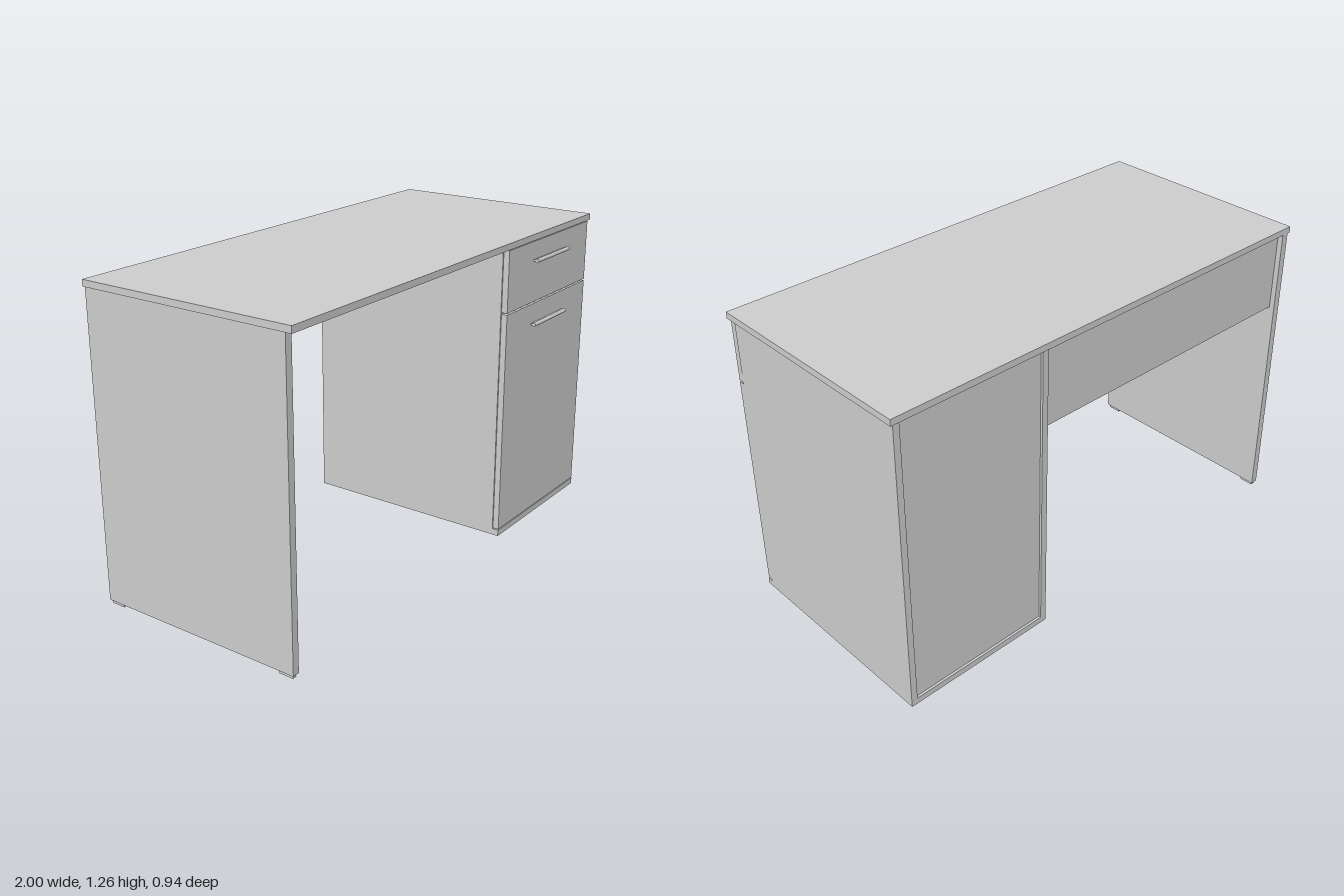
import * as THREE from 'three';

const material = new THREE.MeshStandardMaterial({ color: 0xcccccc });

export function createModel() {
  const desk = new THREE.Group();
  desk.name = 'desk';

  // Adds a board given its extents along each axis
  function board(name, [x0, x1], [y0, y1], [z0, z1], parent = desk) {
    const mesh = new THREE.Mesh(new THREE.BoxGeometry(x1 - x0, y1 - y0, z1 - z0), material);
    mesh.position.set((x0 + x1) / 2, (y0 + y1) / 2, (z0 + z1) / 2);
    mesh.name = name;
    parent.add(mesh);
  }

  const depth = [-0.467, 0.422];
  const front = [0.424, 0.449];

  // Top, side leg and modesty panel
  board('desktop', [-1, 1], [1.235, 1.261], [-0.47, 0.454]);
  board('sideLeg', [-0.992, -0.962], [0.014, 1.235], depth);
  board('modestyPanel', [-0.962, 0.326], [0.905, 1.235], [-0.445, -0.42]);

  // Cabinet carcass
  const cabinet = new THREE.Group();
  cabinet.name = 'cabinet';
  desk.add(cabinet);
  board('cabinetBase', [0.326, 0.99], [0.014, 0.04], [-0.467, 0.449], cabinet);
  board('cabinetInnerSide', [0.326, 0.352], [0.04, 1.235], depth, cabinet);
  board('cabinetOuterSide', [0.964, 0.99], [0.04, 1.235], depth, cabinet);
  board('cabinetBack', [0.352, 0.964], [0.04, 1.235], [-0.457, -0.447], cabinet);

  // Drawer and door fronts
  board('drawerFront', [0.328, 0.988], [0.979, 1.23], front, cabinet);
  board('doorFront', [0.328, 0.988], [0.044, 0.972], front, cabinet);

  // Bar handles: rounded grip tapering into a narrow stem, extruded sideways
  const profile = new THREE.Shape();
  profile.moveTo(0, -0.003);
  profile.lineTo(0.008, -0.004);
  profile.absarc(0.016, 0, 0.008, -2.4, 2.4, false);
  profile.lineTo(0.008, 0.004);
  profile.lineTo(0, 0.003);
  profile.closePath();
  const grip = new THREE.ExtrudeGeometry(profile, { depth: 0.264, bevelEnabled: false, curveSegments: 12 });
  grip.rotateY(-Math.PI / 2);
  for (const [name, y] of [['drawerHandle', 1.153], ['doorHandle', 0.888]]) {
    const handle = new THREE.Mesh(grip, material);
    handle.name = name;
    handle.position.set(0.788, y, 0.449);
    cabinet.add(handle);
  }

  // Square cabinet feet and slim glides under the side leg
  for (const z of [0.385, -0.4]) {
    for (const x of [0.385, 0.93]) {
      board('cabinetFoot', [x - 0.031, x + 0.031], [0.004, 0.014], [z - 0.031, z + 0.031], cabinet);
      board('cabinetFootPad', [x - 0.027, x + 0.027], [0, 0.004], [z - 0.027, z + 0.027], cabinet);
    }
  }
  for (const z of [0.385, -0.43]) {
    board('legGlide', [-0.986, -0.968], [0, 0.014], [z - 0.03, z + 0.03]);
  }

  return desk;
}
